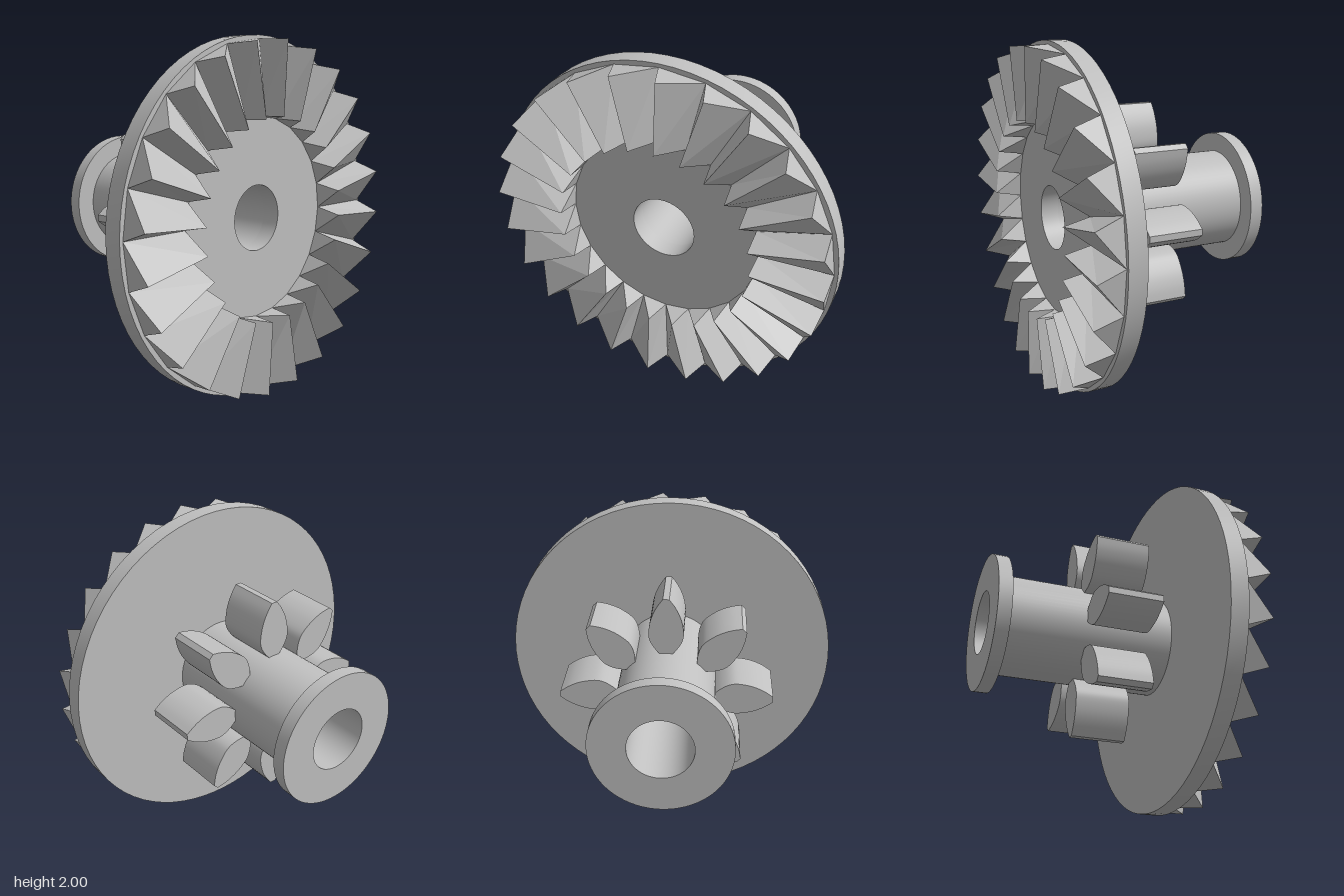
import * as THREE from 'three';
import { toCreasedNormals } from 'three/addons/utils/BufferGeometryUtils.js';

const BORE = 0.185;

// Ring turned about the x axis: outline of [x, radius] pairs, closed through the bore
function turned(outline, material, name) {
  const first = outline[0][0], last = outline[outline.length - 1][0];
  const points = [[first, BORE], ...outline, [last, BORE], [first, BORE]]
    .map(([x, r]) => new THREE.Vector2(r, x));
  const geometry = new THREE.LatheGeometry(points, 72);
  geometry.rotateZ(-Math.PI / 2);
  const mesh = new THREE.Mesh(toCreasedNormals(geometry, 0.5), material);
  mesh.name = name;
  return mesh;
}

// Ring of saw-shaped teeth on the face of the disc
function crownTeeth(material) {
  const count = 24, inner = 0.565, outer = 0.98, base = 0.505, top = 0.66;
  const pitch = (Math.PI * 2) / count, rise = THREE.MathUtils.degToRad(3.4);
  const positions = [];
  const at = (x, r, a) => [x, r * Math.sin(a), r * Math.cos(a)];
  const face = (...p) => {
    for (let i = 1; i < p.length - 1; i++) positions.push(...p[0], ...p[i], ...p[i + 1]);
  };
  for (let i = 0; i < count; i++) {
    const a = i * pitch;
    const [vi, vo] = [inner, outer].map(r => at(base, r, a));
    const [ti, to] = [inner, outer].map(r => at(top, r, a + rise));
    const [ni, no] = [inner, outer].map(r => at(base, r, a + pitch));
    face(vi, ti, to, vo); // steep flank
    face(ti, ni, no, to); // long ramp
    face(vo, to, no);     // outer end
    face(vi, ni, ti);     // inner end
  }
  const geometry = new THREE.BufferGeometry();
  geometry.setAttribute('position', new THREE.Float32BufferAttribute(positions, 3));
  geometry.computeVertexNormals();
  const mesh = new THREE.Mesh(geometry, material);
  mesh.name = 'crownTeeth';
  return mesh;
}

// Eight leaf-shaped teeth around the sleeve
function pinion(material) {
  const group = new THREE.Group();
  group.name = 'pinion';
  const side = [[0.03, 0.28], [0.065, 0.32], [0.093, 0.37], [0.1, 0.42],
    [0.086, 0.5], [0.056, 0.57], [0.018, 0.625]].map(p => new THREE.Vector2(...p));
  const right = new THREE.SplineCurve(side).getPoints(20);
  const left = right.map(p => new THREE.Vector2(-p.x, p.y)).reverse();
  const shape = new THREE.Shape([...right, ...left]);
  const extruded = new THREE.ExtrudeGeometry(shape, { depth: 0.32, bevelEnabled: false });
  extruded.rotateY(Math.PI / 2);
  extruded.translate(-0.12, 0, 0);
  const geometry = toCreasedNormals(extruded, 0.45);
  for (let i = 0; i < 8; i++) {
    const tooth = new THREE.Mesh(geometry, material);
    tooth.name = 'pinionTooth';
    tooth.rotation.x = (i * Math.PI) / 4;
    group.add(tooth);
  }
  return group;
}

export function createModel() {
  const grey = new THREE.MeshStandardMaterial({ color: 0xc0c0c0 });
  grey.name = 'lightGrey';

  const gear = new THREE.Group();
  gear.name = 'gear';
  gear.position.y = 1;
  gear.add(
    turned([[-0.665, 0.4], [-0.585, 0.4], [-0.585, 0.29], [0.4, 0.29]], grey, 'flangedSleeve'),
    turned([[0.4, 1], [0.505, 1]], grey, 'crownDisc'),
    crownTeeth(grey),
    pinion(grey),
  );

  const model = new THREE.Group();
  model.name = 'crownGearWithPinion';
  model.add(gear);
  return model;
}
